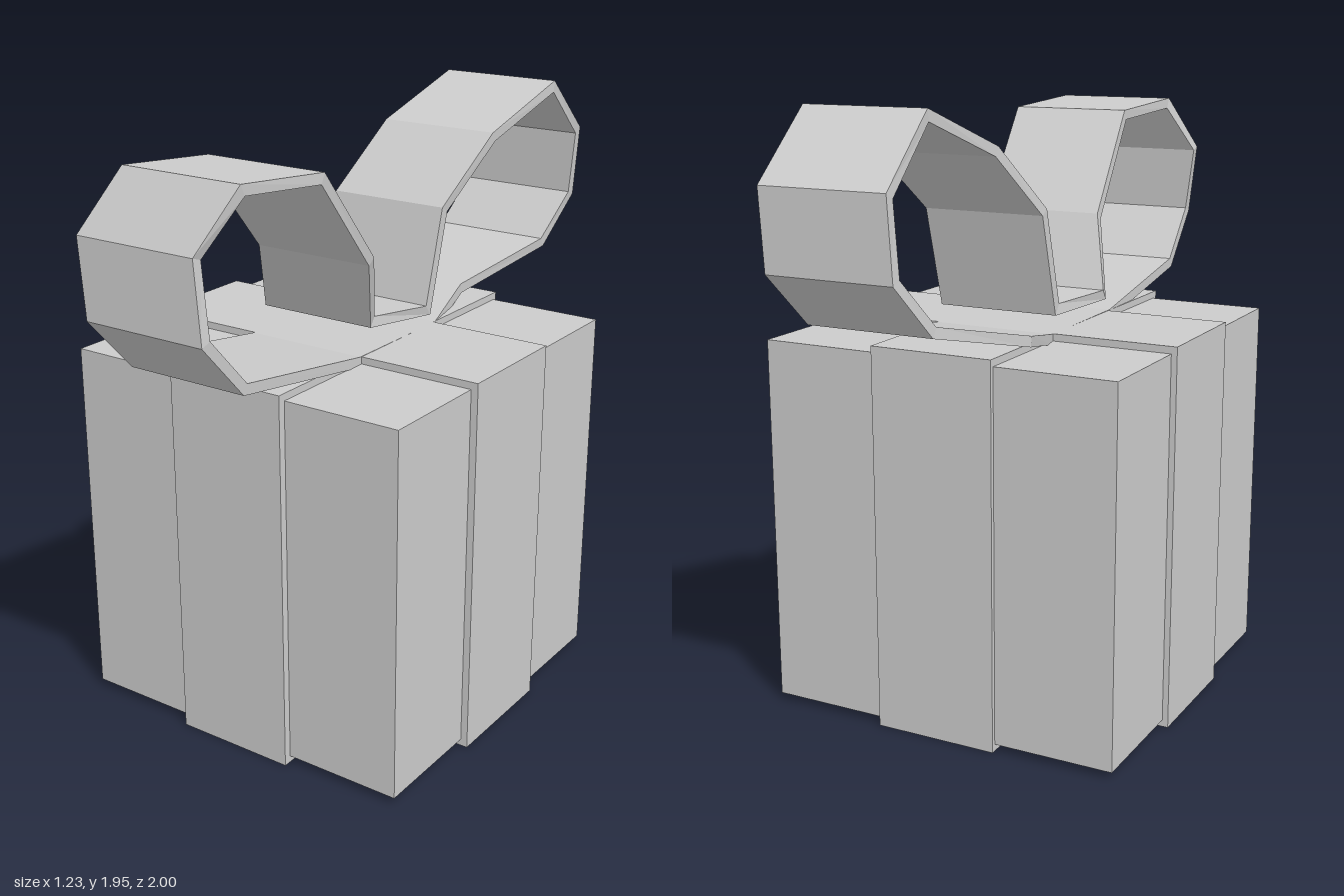
import * as THREE from 'three';

const material = new THREE.MeshStandardMaterial({ color: 0xcccccc, flatShading: true });

function add(group, name, geometry) {
  const mesh = new THREE.Mesh(geometry, material);
  mesh.name = name;
  group.add(mesh);
  return mesh;
}

// Sweeps a flat band of the given width and thickness around a closed path of [z, y, xCentre].
function bandGeometry(path, width, thickness) {
  const n = path.length;
  const sections = path.map(([z, y, x], i) => {
    const p = new THREE.Vector2(z, y);
    const a = new THREE.Vector2(...path[(i + n - 1) % n]);
    const b = new THREE.Vector2(...path[(i + 1) % n]);
    const t0 = p.clone().sub(a).normalize();
    const t1 = b.sub(p).normalize();
    const n0 = new THREE.Vector2(t0.y, -t0.x);
    const n1 = new THREE.Vector2(t1.y, -t1.x);
    const mitre = n0.clone().add(n1).normalize();
    mitre.multiplyScalar(thickness / 2 / mitre.dot(n0));
    const corner = (sx, s) => [x + sx * width / 2, y + s * mitre.y, z + s * mitre.x];
    return [corner(-1, 1), corner(1, 1), corner(1, -1), corner(-1, -1)];
  });
  const positions = [];
  for (let i = 0; i < n; i++) {
    const s = sections[i], t = sections[(i + 1) % n];
    for (let k = 0; k < 4; k++) {
      const m = (k + 1) % 4;
      positions.push(...s[k], ...s[m], ...t[m], ...s[k], ...t[m], ...t[k]);
    }
  }
  const geometry = new THREE.BufferGeometry();
  geometry.setAttribute('position', new THREE.Float32BufferAttribute(positions, 3));
  geometry.computeVertexNormals();
  return geometry;
}

export function createModel() {
  const group = new THREE.Group();
  group.name = 'giftBox';

  // Box
  add(group, 'box', new THREE.BoxGeometry(1.19, 1.19, 1.19)).position.set(-0.003, 0.617, 0.03);

  // Ribbon wrapped both ways: a cross-shaped plan slightly larger than the box
  const x0 = -0.617, x1 = -0.205, x2 = 0.202, x3 = 0.615;
  const z0 = -0.58, z1 = -0.175, z2 = 0.24, z3 = 0.65;
  const cross = new THREE.Shape([
    [x1, z0], [x2, z0], [x2, z1], [x3, z1], [x3, z2], [x2, z2],
    [x2, z3], [x1, z3], [x1, z2], [x0, z2], [x0, z1], [x1, z1],
  ].map(([x, z]) => new THREE.Vector2(x, -z)));
  const wrap = new THREE.ExtrudeGeometry(cross, { depth: 1.235, bevelEnabled: false });
  wrap.rotateX(-Math.PI / 2);
  add(group, 'ribbon', wrap);

  // Bow: one closed band making a front loop, a dip and a taller back loop
  const bowPath = [
    [0.25, 1.22, 0], [0.82, 1.31, 0.015], [0.985, 1.485, 0.02], [0.975, 1.71, -0.01],
    [0.86, 1.877, 0.055], [0.55, 1.854, 0.085], [0.255, 1.545, 0.045],
    [0.13, 1.31, -0.035], [-0.105, 1.297, 0.02], [-0.185, 1.61, 0.025],
    [-0.405, 1.81, 0.07], [-0.715, 1.932, 0.115], [-0.975, 1.742, 0.08],
    [-0.982, 1.515, 0.06], [-0.84, 1.36, 0.03], [-0.45, 1.27, -0.065], [-0.18, 1.218, 0],
  ];
  add(group, 'bow', bandGeometry(bowPath, 0.41, 0.033));

  return group;
}
